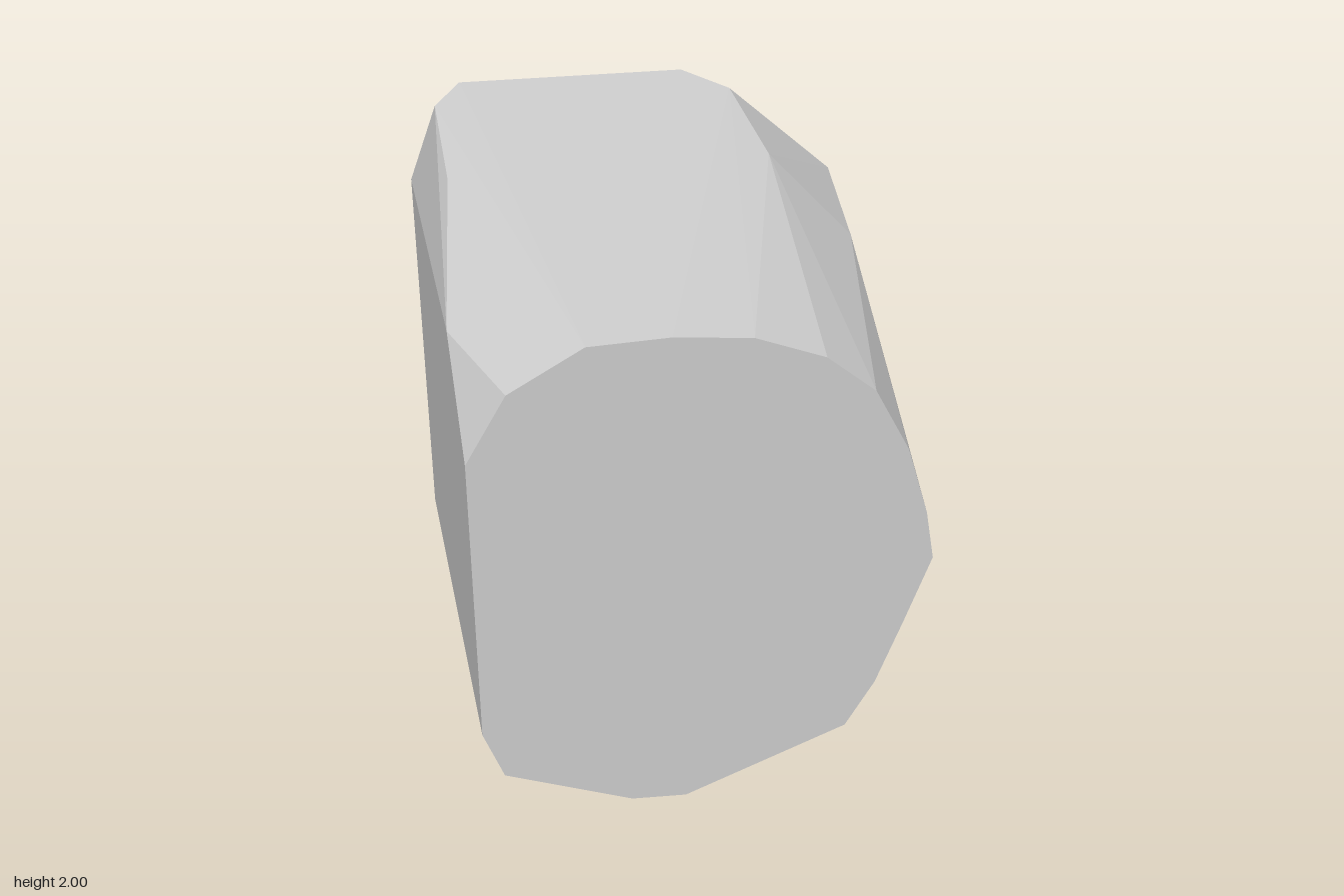
import * as THREE from 'three';
import { ConvexGeometry } from 'three/addons/geometries/ConvexGeometry.js';

// Front face outline (x, y), leaning back slightly towards +x
const frontOutline = [
  [-0.78, 1.45], [-0.66, 1.65], [-0.44, 1.77], [-0.2, 1.775], [0.03, 1.75], [0.24, 1.67],
  [0.39, 1.55], [0.5, 1.35], [0.57, 1.13], [0.6, 0.97], [0.52, 0.75], [0.44, 0.54],
  [0.35, 0.39], [0.0, 0.27], [-0.16, 0.205], [-0.33, 0.22], [-0.72, 0.38], [-0.78, 0.54],
];

// Flat back face outline (x, y)
const backOutline = [
  [-0.78, 1.66], [-0.59, 2.0], [0.2, 2.0], [0.78, 1.2], [0.78, 0.8],
  [-0.06, 0], [-0.33, 0], [-0.78, 0.35],
];

// Chamfer corners just ahead of the back face, and bends along the sides
const sideCorners = [
  [-0.69, 1.97, -0.73], [0.34, 1.97, -0.73], [0.75, 1.61, -0.85],
  [0.75, 0.4, -0.8], [0.34, 0.03, -0.8], [-0.7, 0.03, -0.78],
  [-0.7, 1.89, -0.2], [-0.78, 1.68, 0.5], [0.36, 1.885, -0.25], [0.63, 1.61, -0.17],
];

export function createModel() {
  const group = new THREE.Group();
  const stoneGrey = new THREE.MeshStandardMaterial({ color: 0xcccccc });
  stoneGrey.name = 'stone grey';

  const points = [
    ...frontOutline.map(([x, y]) => new THREE.Vector3(x, y, 0.89 - 0.015 * (x + 0.78))),
    ...backOutline.map(([x, y]) => new THREE.Vector3(x, y, -0.89)),
    ...sideCorners.map((p) => new THREE.Vector3(...p)),
  ];

  // Faceted block wrapped around all the corners
  const block = new THREE.Mesh(new ConvexGeometry(points), stoneGrey);
  block.name = 'facetedBlock';
  group.add(block);
  return group;
}
